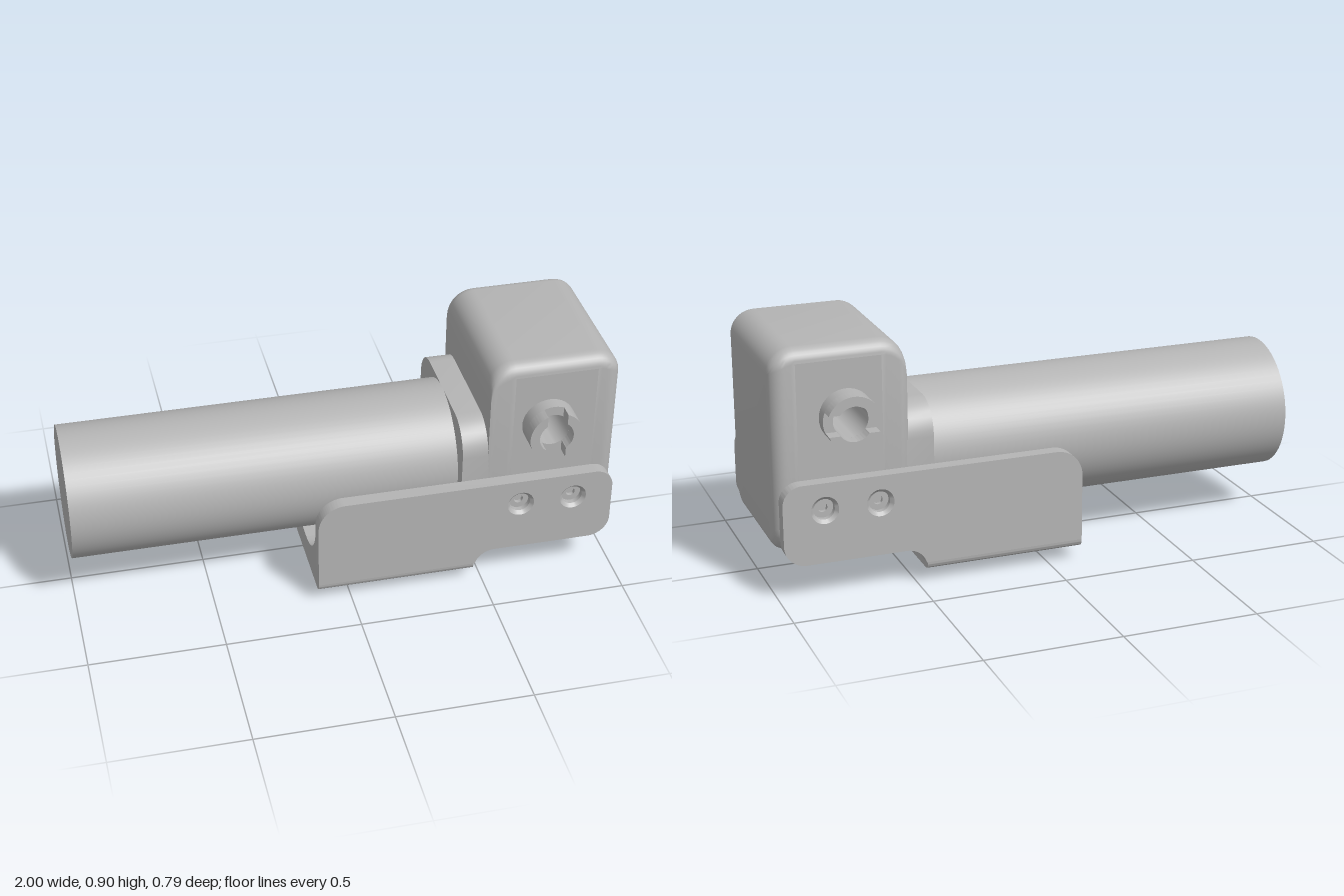
import * as THREE from 'three';
import { toCreasedNormals } from 'three/addons/utils/BufferGeometryUtils.js';

const PI = Math.PI;

export function createModel() {
  const model = new THREE.Group();
  const grey = new THREE.MeshStandardMaterial({ color: 0xb4b4b4 });
  grey.name = 'plain grey';

  const add = (name, geo, x = 0, y = 0, z = 0, crease = 0.5) => {
    const mesh = new THREE.Mesh(toCreasedNormals(geo, crease), grey);
    mesh.name = name;
    mesh.position.set(x, y, z);
    model.add(mesh);
    return mesh;
  };
  const extrude = (shape, depth) =>
    new THREE.ExtrudeGeometry(shape, { depth, bevelEnabled: false, curveSegments: 20 });
  // profile drawn in (-z, y), swept along +x
  const alongX = (shape, length) => extrude(shape, length).rotateY(PI / 2);
  const circle = (x, y, r) => new THREE.Path().absarc(x, y, r, 0, PI * 2);

  // rounded rectangle as a loop of [u, v], counter-clockwise
  const N = 8;
  const roundedLoop = (hw, y0, y1, rTop, rBottom) => {
    const corners = [[hw, y1, rTop], [-hw, y1, rTop], [-hw, y0, rBottom], [hw, y0, rBottom]];
    const pts = [];
    corners.forEach(([u, v, r], k) => {
      const cu = u - Math.sign(u) * r, cv = v + (k < 2 ? -r : r);
      for (let i = 0; i <= N; i++) {
        const a = (k + i / N) * PI / 2;
        pts.push([cu + r * Math.cos(a), cv + r * Math.sin(a)]);
      }
    });
    return pts;
  };

  // motor barrel
  add('motorBarrel', new THREE.CylinderGeometry(0.245, 0.245, 1.43, 64).rotateZ(PI / 2), -0.285, 0.405, 0);

  // mounting flange between motor and gearbox
  const flange = new THREE.Shape(roundedLoop(0.295, 0.155, 0.65, 0.12, 0.1).map(p => new THREE.Vector2(...p)));
  add('motorFlange', alongX(flange, 0.1), 0.42, 0, 0);

  // gearbox housing: rounded sections along x, side panels left open for the shaft
  const xs = [];
  for (let i = 0; i <= 8; i++) xs.push(0.515 + 0.09 * (1 - Math.cos(i * PI / 16)));
  xs.push(0.91, 0.925, 0.94);
  for (let i = 0; i <= 8; i++) xs.push(0.95 + 0.05 * Math.sin(i * PI / 16));
  const pos = [], index = [], L = 4 * (N + 1);
  for (const x of xs) {
    const inset = x > 0.95 ? 0.05 - Math.sqrt(Math.max(0, 0.0025 - (x - 0.95) ** 2)) : 0;
    const dx = Math.max(0.605 - x, x - 0.91, 0);
    const top = 0.81 + Math.sqrt(Math.max(0, 0.0081 - dx * dx));
    const loop = roundedLoop(0.295 - inset, 0.155 + inset, top, Math.max(0.05 - inset, 0.002), 0.1 - inset);
    for (const [u, v] of loop) pos.push(x, v, -u);
  }
  for (let s = 0; s < xs.length - 1; s++) {
    for (let j = 0; j < L; j++) {
      if (s === 8 && (j === 2 * N + 1 || j === L - 1)) continue;
      const k = (j + 1) % L, a = s * L + j, b = s * L + k;
      index.push(a, b, a + L, b, b + L, a + L);
    }
  }
  const last = (xs.length - 1) * L;
  for (let j = 1; j < L - 1; j++) {
    index.push(0, j + 1, j, last, last + j, last + j + 1);
  }
  const housing = new THREE.BufferGeometry();
  housing.setAttribute('position', new THREE.Float32BufferAttribute(pos, 3));
  housing.setIndex(index);
  add('gearboxHousing', housing);

  // housing side panels with the shaft opening
  const SX = 0.735, SY = 0.647;
  for (const side of [1, -1]) {
    const e = x => side * x;
    const panel = new THREE.Shape([[0.605, 0.255], [0.91, 0.255], [0.91, 0.85], [0.605, 0.85]]
      .map(([x, y]) => new THREE.Vector2(e(x), y)));
    panel.holes.push(circle(e(SX), SY, 0.08));
    const geo = new THREE.ShapeGeometry(panel, 20);
    if (side < 0) geo.rotateY(PI);
    add('gearboxSidePanel', geo, 0, 0, side * 0.295);
  }

  // hollow output shaft with slotted ends
  const R = 0.098, r = 0.063, slot = 0.037;
  const ring = new THREE.Shape().absarc(0, 0, R, 0, PI * 2);
  ring.holes.push(circle(0, 0, r));
  add('outputShaft', extrude(ring, 0.69), SX, SY, -0.345);
  const A = Math.acos(slot / R), a = Math.acos(slot / r);
  const prong = new THREE.Shape().absarc(0, 0, R, -A, A, false).absarc(0, 0, r, a, -a, true);
  for (const turn of [0, 1, 2, 3]) {
    const z = turn % 2 ? -0.395 : 0.345;
    add('shaftProng', extrude(prong, 0.05).rotateZ(turn * PI / 2), SX, SY, z);
  }

  // bracket side plates
  const plate = new THREE.Shape();
  plate.moveTo(-0.125, 0.08);
  plate.lineTo(0.467, 0.08);
  plate.absarc(0.542, 0.06, 0.075, PI * 0.917, PI / 2, true);
  plate.lineTo(0.905, 0.135);
  plate.absarc(0.905, 0.215, 0.08, -PI / 2, 0, false);
  plate.absarc(0.915, 0.36, 0.07, 0, PI / 2, false);
  plate.lineTo(-0.025, 0.43);
  plate.absarc(-0.025, 0.33, 0.1, PI / 2, PI, false);
  plate.closePath();
  const screws = [[0.635, 0.33], [0.835, 0.33]];
  for (const [x, y] of screws) plate.holes.push(circle(x, y, 0.05));

  // stepped screw recess, deepest at the housing wall
  const recess = [[0.05, 0.05], [0.038, 0.038], [0.038, 0.018], [0.017, 0.018], [0.017, 0.003], [0, 0.003]]
    .map(p => new THREE.Vector2(...p));

  for (const side of [1, -1]) {
    add('bracketSidePlate', extrude(plate, 0.05), 0, 0, side > 0 ? 0.295 : -0.345);
    for (const [x, y] of screws) {
      add('screwRecess', new THREE.LatheGeometry(recess, 32).rotateX(side * PI / 2), x, y, side * 0.295);
    }
    // rounded lower corner of the bracket
    const corner = new THREE.Shape();
    corner.moveTo(side * 0.295, 0.05);
    corner.lineTo(side * 0.315, 0.05);
    corner.quadraticCurveTo(side * 0.345, 0.05, side * 0.345, 0.08);
    corner.lineTo(side * 0.295, 0.08);
    corner.closePath();
    add('bracketLowerCorner', alongX(corner, 0.59), -0.125, 0, 0);
    // inner fillet between base and side plate
    const fillet = new THREE.Shape();
    fillet.moveTo(side * 0.295, 0.145);
    for (let i = 0; i <= 12; i++) {
      const t = i * PI / 24;
      fillet.lineTo(side * (0.13 + 0.165 * Math.sin(t)), 0.31 - 0.165 * Math.cos(t));
    }
    fillet.closePath();
    add('bracketInnerFillet', alongX(fillet, 0.49), -0.125, 0, 0);
  }

  // bracket base with a round opening
  const base = new THREE.Shape([[-0.125, -0.295], [0.465, -0.295], [0.465, 0.295], [-0.125, 0.295]]
    .map(p => new THREE.Vector2(...p)));
  base.holes.push(circle(0.25, 0, 0.095));
  add('bracketBase', extrude(base, 0.095).rotateX(PI / 2), 0, 0.145, 0);

  // locating boss under the base
  const boss = [[0.095, 0.05], [0.095, 0.008], [0.103, 0], [0.155, 0], [0.163, 0.002], [0.169, 0.008], [0.171, 0.016], [0.171, 0.05]]
    .map(p => new THREE.Vector2(...p));
  add('locatingBoss', new THREE.LatheGeometry(boss, 48), 0.25, 0, 0);

  return model;
}
